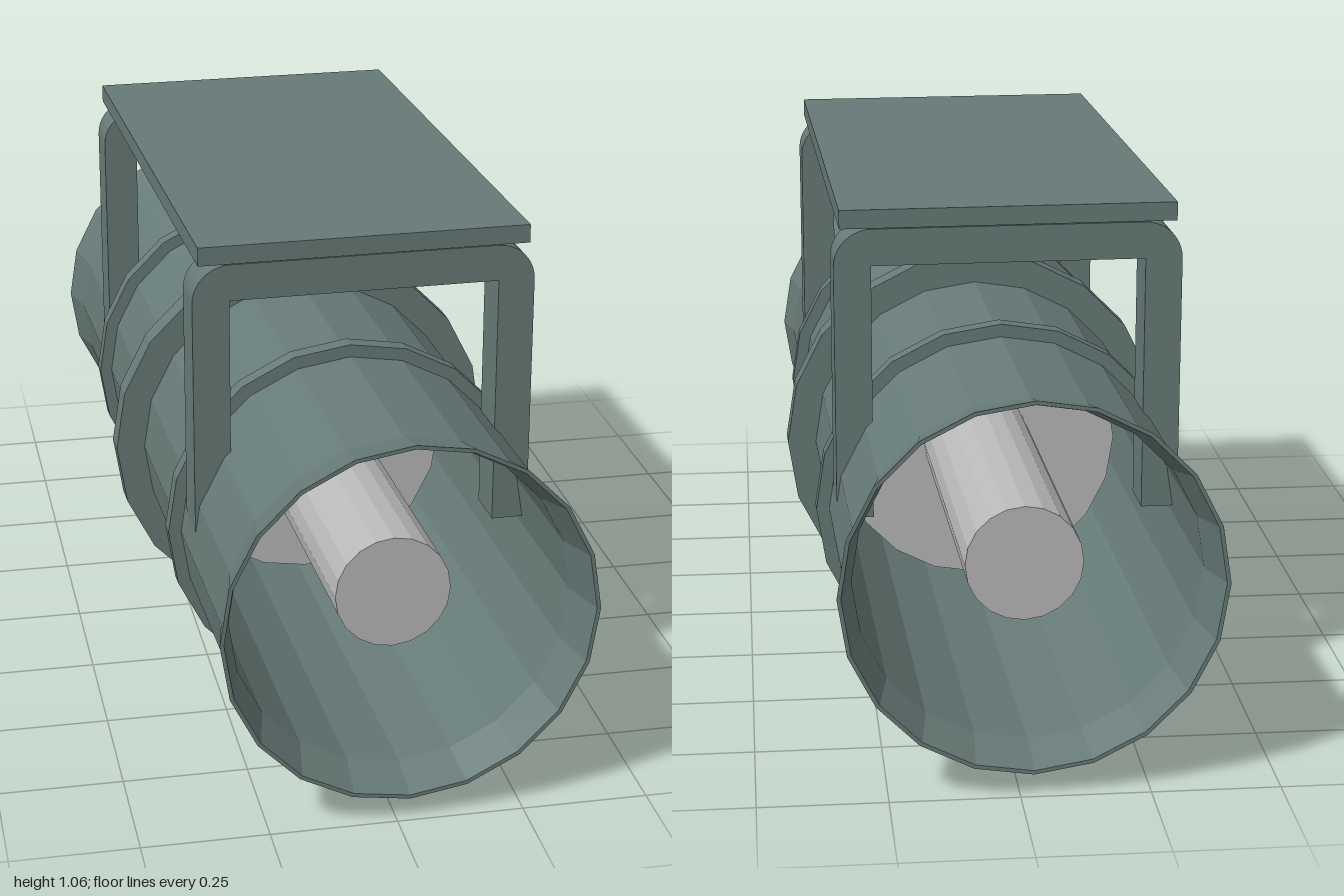
import * as THREE from 'three';

const SIDES = 20;
const AXIS_Y = 0.412;

export function createModel() {
  const paint = new THREE.MeshStandardMaterial({ color: 0x667a77, flatShading: true });
  paint.name = 'grey green paint';
  const metal = new THREE.MeshStandardMaterial({ color: 0xb9b9b9, flatShading: true });
  metal.name = 'light grey metal';

  const model = new THREE.Group();
  model.name = 'jetFan';
  // the whole fan is turned slightly about the vertical
  model.rotation.y = 0.027;

  const add = (name, geometry, material, x = 0, y = 0, z = 0) => {
    const mesh = new THREE.Mesh(geometry, material);
    mesh.name = name;
    mesh.position.set(x, y, z);
    model.add(mesh);
    return mesh;
  };

  // closed [radius, z] profile turned about the fan axis
  const turned = (profile) => new THREE.LatheGeometry(
    profile.map(([r, z]) => new THREE.Vector2(r, z)), SIDES).rotateX(Math.PI / 2);

  // open duct with flared mouths
  add('duct', turned([
    [0.362, -0.99], [0.37, -0.99], [0.35, -0.9], [0.35, 0.9], [0.37, 0.99],
    [0.362, 0.99], [0.336, 0.9], [0.336, -0.9], [0.362, -0.99],
  ]), paint, 0, AXIS_Y);

  // joint flanges
  const flange = (name, radius, half, z) => add(name, turned([
    [0.345, -half], [radius, -half], [radius, half], [0.345, half], [0.345, -half],
  ]), paint, 0, AXIS_Y, z);
  flange('middleFlange', 0.411, 0.028, 0);
  flange('frontFlange', 0.376, 0.018, 0.46);
  flange('backFlange', 0.376, 0.018, -0.46);

  // rotor disc and motor hub
  const cylinder = (r, length) =>
    new THREE.CylinderGeometry(r, r, length, SIDES).rotateX(Math.PI / 2);
  add('rotorDisc', cylinder(0.303, 0.14), metal, 0, AXIS_Y);
  add('motorHub', cylinder(0.115, 1.68), metal, 0, AXIS_Y);

  // U-shaped hangers with rounded upper corners
  const w = 0.342, top = 1.018, bottom = 0.433, bar = 0.073, r = 0.075;
  const shape = new THREE.Shape();
  shape.moveTo(-w, bottom);
  shape.lineTo(-w + bar, bottom);
  shape.lineTo(-w + bar, top - bar);
  shape.lineTo(w - bar, top - bar);
  shape.lineTo(w - bar, bottom);
  shape.lineTo(w, bottom);
  shape.lineTo(w, top - r);
  shape.absarc(w - r, top - r, r, 0, Math.PI / 2, false);
  shape.lineTo(-w + r, top);
  shape.absarc(-w + r, top - r, r, Math.PI / 2, Math.PI, false);
  shape.closePath();
  const depth = 0.096;
  const hanger = new THREE.ExtrudeGeometry(shape, { depth, bevelEnabled: false, curveSegments: 5 })
    .translate(0, 0, -depth / 2);
  add('frontHanger', hanger, paint, 0, 0, 0.551);
  add('backHanger', hanger, paint, 0, 0, -0.551);

  // mounting plate
  add('mountingPlate', new THREE.BoxGeometry(0.66, 0.037, 1.2), paint, 0, 1.038, 0);

  const root = new THREE.Group();
  root.name = 'ventilationFan';
  root.add(model);
  return root;
}
